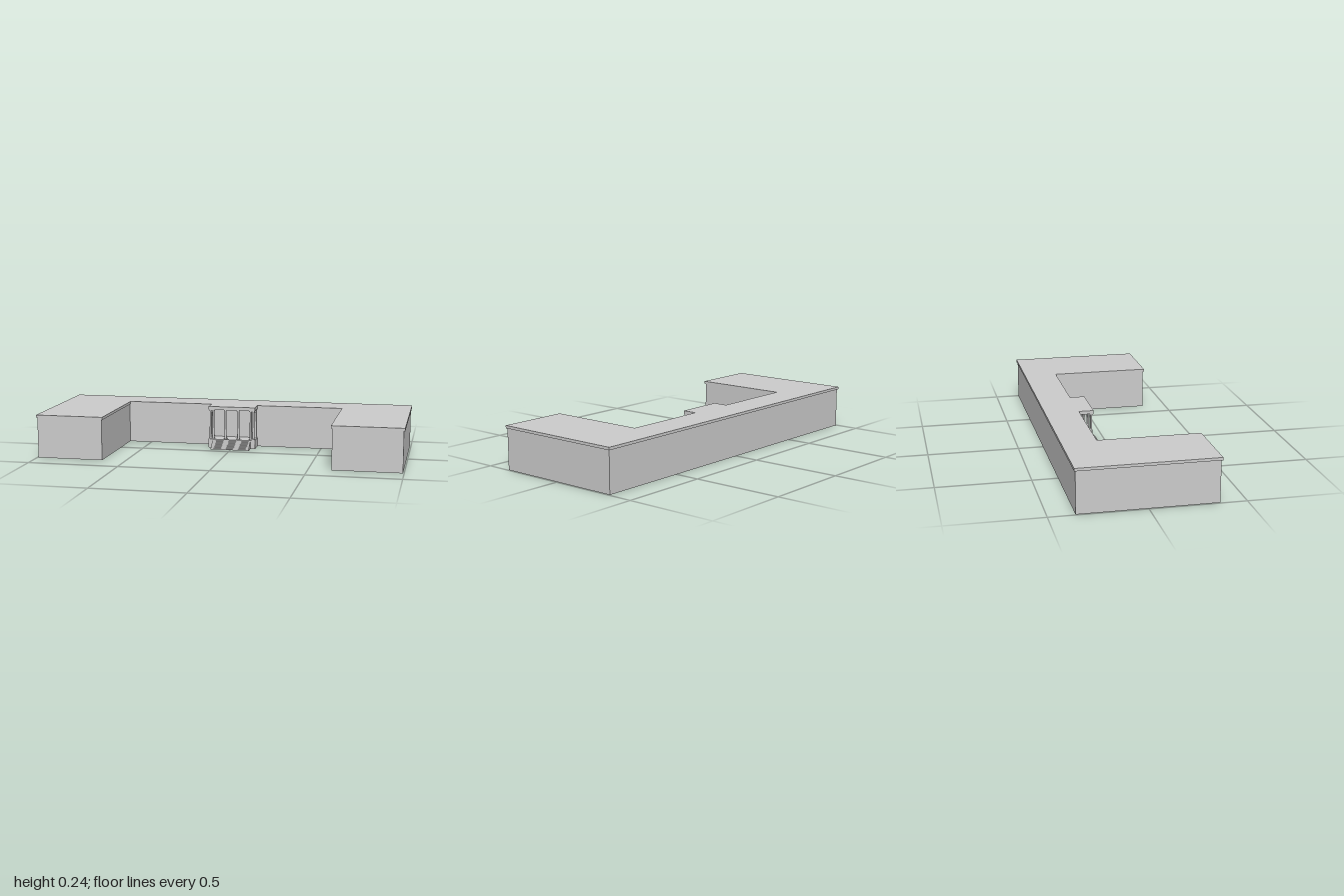
import * as THREE from 'three';

const material = new THREE.MeshStandardMaterial({ color: 0xcccccc, flatShading: true });
const smooth = new THREE.MeshStandardMaterial({ color: 0xcccccc });
const CX = -0.003; // centre line of courtyard and porch

function add(parent, name, geometry, x = 0, y = 0, z = 0, mat = material) {
  const mesh = new THREE.Mesh(geometry, mat);
  mesh.name = name;
  mesh.position.set(x, y, z);
  parent.add(mesh);
  return mesh;
}

// U-shaped plan, extruded upwards; grow pushes every wall outwards
function plan(grow, height) {
  const x = 0.994 + grow, z = 0.362 + grow, inner = 0.626 - grow, court = -0.188 + grow;
  const points = [
    [-x, z], [-x, -z], [x, -z], [x, z],
    [CX + inner, z], [CX + inner, court], [CX - inner, court], [CX - inner, z],
  ].map(([px, pz]) => new THREE.Vector2(px, -pz));
  const geometry = new THREE.ExtrudeGeometry(new THREE.Shape(points), { depth: height, bevelEnabled: false });
  return geometry.rotateX(-Math.PI / 2);
}

// Slim column with a square base and capital
function column(parent, x, z, bottom, top) {
  const group = new THREE.Group();
  group.name = 'porchColumn';
  const h = top - bottom;
  add(group, 'columnShaft', new THREE.CylinderGeometry(0.0055, 0.0065, h, 16), 0, h / 2, 0, smooth);
  add(group, 'columnBase', new THREE.BoxGeometry(0.016, 0.006, 0.016), 0, 0.003, 0);
  add(group, 'columnCapital', new THREE.BoxGeometry(0.016, 0.006, 0.016), 0, h - 0.003, 0);
  group.position.set(x, bottom, z);
  parent.add(group);
}

export function createModel() {
  const model = new THREE.Group();
  model.name = 'building';

  // Main block and flat roof with overhanging edge
  add(model, 'walls', plan(0, 0.224));
  add(model, 'roof', plan(0.006, 0.015), 0, 0.223, 0);

  // Entrance porch
  const porch = new THREE.Group();
  porch.name = 'porch';
  porch.position.x = CX;
  model.add(porch);
  add(porch, 'porchFloor', new THREE.BoxGeometry(0.272, 0.05, 0.09), 0, 0.025, -0.145);
  add(porch, 'porchRoof', new THREE.BoxGeometry(0.268, 0.019, 0.09), 0, 0.2285, -0.145);
  for (const x of [-0.109, -0.037, 0.037, 0.109]) column(porch, x, -0.112, 0.05, 0.22);
  for (const side of [-1, 1]) {
    column(porch, side * 0.124, -0.112, 0.05, 0.22);
    column(porch, side * 0.124, -0.178, 0.05, 0.22);
  }

  // Flight of steps, cut from one side profile
  const steps = 7, run = 0.058, rise = 0.05;
  const profile = new THREE.Shape();
  profile.moveTo(0, 0);
  profile.lineTo(run, 0);
  for (let i = 0; i < steps; i++) {
    const y = ((i + 1) * rise) / steps;
    profile.lineTo(run * (1 - i / steps), y);
    profile.lineTo(run * (1 - (i + 1) / steps), y);
  }
  const stairs = new THREE.ExtrudeGeometry(profile, { depth: 0.22, bevelEnabled: false });
  stairs.translate(0, 0, -0.11).rotateY(-Math.PI / 2);
  add(porch, 'steps', stairs, 0, 0, -0.101);

  return model;
}
